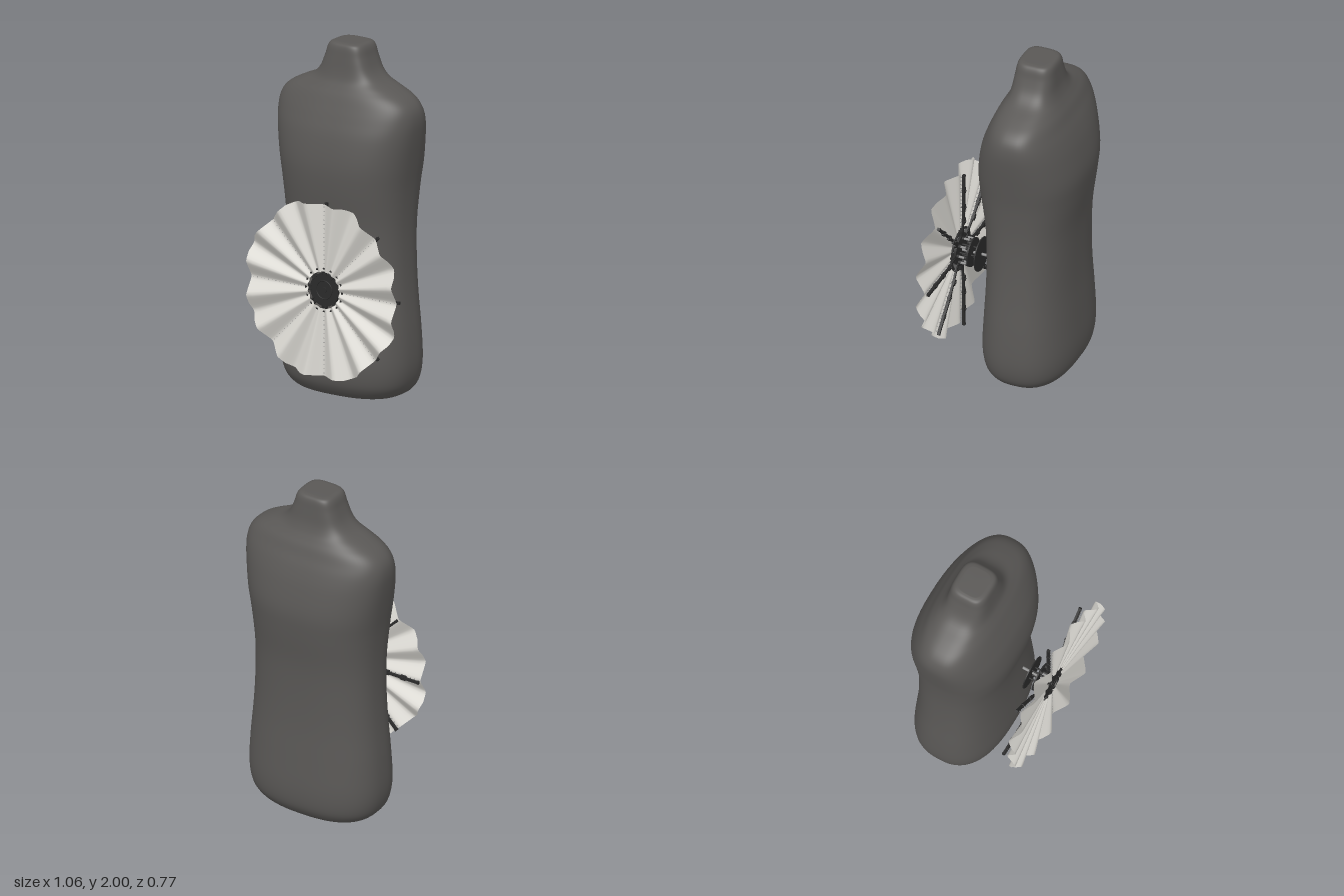
import * as THREE from 'three';

const mat = (name, color, side = THREE.FrontSide) => {
  const m = new THREE.MeshStandardMaterial({ color, side });
  m.name = name;
  return m;
};
const charcoal = mat('charcoal body', 0x5a5856);
const paper = mat('pale paper', 0xdedcd6, THREE.DoubleSide);
const black = mat('black mechanism', 0x2b2b2b);
const steel = mat('grey steel', 0x8c8c8c);

// Closed loops of points joined into a smooth skin
function loft(rings) {
  const n = rings[0].length, pos = rings.flat(2), idx = [];
  for (let j = 0; j < rings.length - 1; j++) {
    for (let i = 0; i < n; i++) {
      const a = j * n + i, b = j * n + (i + 1) % n, c = a + n, d = b + n;
      idx.push(a, c, b, b, c, d);
    }
  }
  const g = new THREE.BufferGeometry();
  g.setAttribute('position', new THREE.Float32BufferAttribute(pos, 3));
  g.setIndex(idx);
  g.computeVertexNormals();
  return g;
}

function add(parent, name, geometry, material, x = 0, y = 0, z = 0) {
  const m = new THREE.Mesh(geometry, material);
  m.name = name;
  m.position.set(x, y, z);
  parent.add(m);
  return m;
}

// Disc or rod lying along z between two depths
function rod(parent, name, r, z0, z1, material, x = 0, y = 0, sides = 12) {
  const g = new THREE.CylinderGeometry(r, r, z1 - z0, sides).rotateX(Math.PI / 2);
  return add(parent, name, g, material, x, y, (z0 + z1) / 2);
}

// Torso: height, half width, front z, back z
function torsoGeometry() {
  const rows = [
    [0.005, 0.24, 0.06, -0.24], [0.015, 0.31, 0.10, -0.28], [0.05, 0.365, 0.135, -0.315],
    [0.11, 0.40, 0.162, -0.343], [0.22, 0.417, 0.173, -0.353], [0.4, 0.41, 0.165, -0.345],
    [0.6, 0.392, 0.156, -0.335], [0.8, 0.38, 0.155, -0.335], [1.0, 0.378, 0.167, -0.345],
    [1.2, 0.392, 0.195, -0.372], [1.35, 0.414, 0.202, -0.383], [1.5, 0.437, 0.178, -0.358],
    [1.6, 0.445, 0.143, -0.327], [1.67, 0.43, 0.113, -0.296], [1.72, 0.385, 0.09, -0.275],
    [1.76, 0.31, 0.068, -0.253], [1.8, 0.22, 0.048, -0.233], [1.85, 0.167, 0.035, -0.217],
    [1.92, 0.135, 0.024, -0.207], [1.97, 0.12, 0.016, -0.2], [1.993, 0.104, 0.004, -0.187],
    [2.0, 0.08, -0.02, -0.163],
  ];
  const sides = new THREE.CatmullRomCurve3(rows.map(r => new THREE.Vector3(r[1], r[0], 0)), false, 'catmullrom');
  const depth = new THREE.CatmullRomCurve3(rows.map(r => new THREE.Vector3(r[2], r[0], r[3])), false, 'catmullrom');
  const steps = (rows.length - 1) * 4, n = 72, rings = [];
  const ring = (t, s) => {
    const p = sides.getPoint(t), q = depth.getPoint(t);
    const e = 2 / (2.5 + THREE.MathUtils.smoothstep(p.y, 1.75, 1.9));
    const power = v => Math.sign(v) * Math.abs(v) ** e;
    return Array.from({ length: n }, (_, i) => {
      const a = i / n * Math.PI * 2;
      return [-0.086 + s * p.x * power(Math.cos(a)), p.y,
        (q.x + q.z) / 2 + s * (q.x - q.z) / 2 * power(Math.sin(a))];
    });
  };
  rings.push(ring(0, 0.001));
  for (let j = 0; j <= steps; j++) rings.push(ring(j / steps, 1));
  rings.push(ring(1, 0.001));
  return loft(rings);
}

// Pleated sheet with a softly eight-sided rim and sixteen folds
function fanGeometry() {
  const n = 192, rings = [];
  for (let j = 0; j <= 10; j++) {
    rings.push(Array.from({ length: n }, (_, i) => {
      const a = i / n * Math.PI * 2;
      const off = Math.abs(((a / (Math.PI / 4) + 0.5) % 1) - 0.5) * Math.PI / 4;
      const rim = Math.min(0.49 / Math.cos(off), 0.512);
      const r = THREE.MathUtils.lerp(0.105, rim, j / 10);
      const fold = 0.5 + Math.asin(0.97 * -Math.cos(a * 16)) / (2 * Math.asin(0.97));
      return [r * Math.cos(a), r * Math.sin(a), 0.334 + 0.105 * r * fold];
    }));
  }
  return loft(rings);
}

// Folding arm that carries the sheet, pointing along +x
function makeRib() {
  const rib = new THREE.Group();
  rib.name = 'rib';
  const inner = add(rib, 'innerArm', new THREE.BoxGeometry(0.19, 0.014, 0.01), black, 0.185, 0, 0.316);
  inner.rotation.y = 0.07;
  add(rib, 'outerArm', new THREE.BoxGeometry(0.225, 0.014, 0.012), black, 0.38, 0, 0.31);
  add(rib, 'pinRail', new THREE.BoxGeometry(0.36, 0.006, 0.004), black, 0.31, 0, 0.32);
  for (const r of [0.19, 0.28, 0.39]) {
    add(rib, 'hinge', new THREE.BoxGeometry(0.035, 0.026, 0.014), black, r, 0, 0.312);
    rod(rib, 'hingePin', 0.007, 0.3, 0.324, black, r, 0, 8);
  }
  add(rib, 'tipClip', new THREE.BoxGeometry(0.012, 0.016, 0.016), black, 0.489, 0, 0.311);
  for (let i = 0; i < 14; i++) {
    add(rib, 'sheetPin', new THREE.BoxGeometry(0.004, 0.004, 0.016), steel, 0.15 + i * 0.025, 0, 0.327);
  }
  // Bracket at the hub end
  for (const s of [-1, 1]) {
    add(rib, 'bracket', new THREE.BoxGeometry(0.045, 0.008, 0.02), black, 0.107, s * 0.012, 0.328);
  }
  rod(rib, 'post', 0.007, 0.26, 0.322, steel, 0.074, 0, 10);
  rod(rib, 'postCollar', 0.011, 0.262, 0.275, black, 0.074, 0, 10);
  rod(rib, 'postFoot', 0.011, 0.308, 0.32, black, 0.074, 0, 10);
  return rib;
}

export function createModel() {
  const model = new THREE.Group();
  model.name = 'torsoWithFan';
  add(model, 'torso', torsoGeometry(), charcoal);

  const fan = new THREE.Group();
  fan.name = 'fan';
  fan.position.set(0.03, 0.685, 0);
  model.add(fan);
  add(fan, 'pleatedSheet', fanGeometry(), paper);
  for (let i = 0; i < 8; i++) {
    const rib = makeRib();
    rib.rotation.z = i * Math.PI / 4;
    fan.add(rib);
  }

  // Hub plates, collar and driving rods
  rod(fan, 'frontPlate', 0.095, 0.32, 0.333, black, 0, 0, 48);
  rod(fan, 'middlePlate', 0.085, 0.253, 0.261, black, 0, 0, 48);
  rod(fan, 'backPlate', 0.1, 0.204, 0.21, black, 0, 0, 48);
  add(fan, 'hubRing', new THREE.TorusGeometry(0.122, 0.007, 8, 64), black, 0, 0, 0.331);
  add(fan, 'faceRing', new THREE.TorusGeometry(0.052, 0.003, 6, 48), black, 0, 0, 0.333);
  rod(fan, 'hubCap', 0.016, 0.333, 0.338, black, 0, 0, 24);
  rod(fan, 'centreRod', 0.008, 0.14, 0.32, steel);
  for (let i = 0; i < 4; i++) {
    const a = i * Math.PI / 2;
    rod(fan, 'guideRod', 0.005, 0.207, 0.322, black, 0.035 * Math.cos(a), 0.035 * Math.sin(a));
  }
  return model;
}
